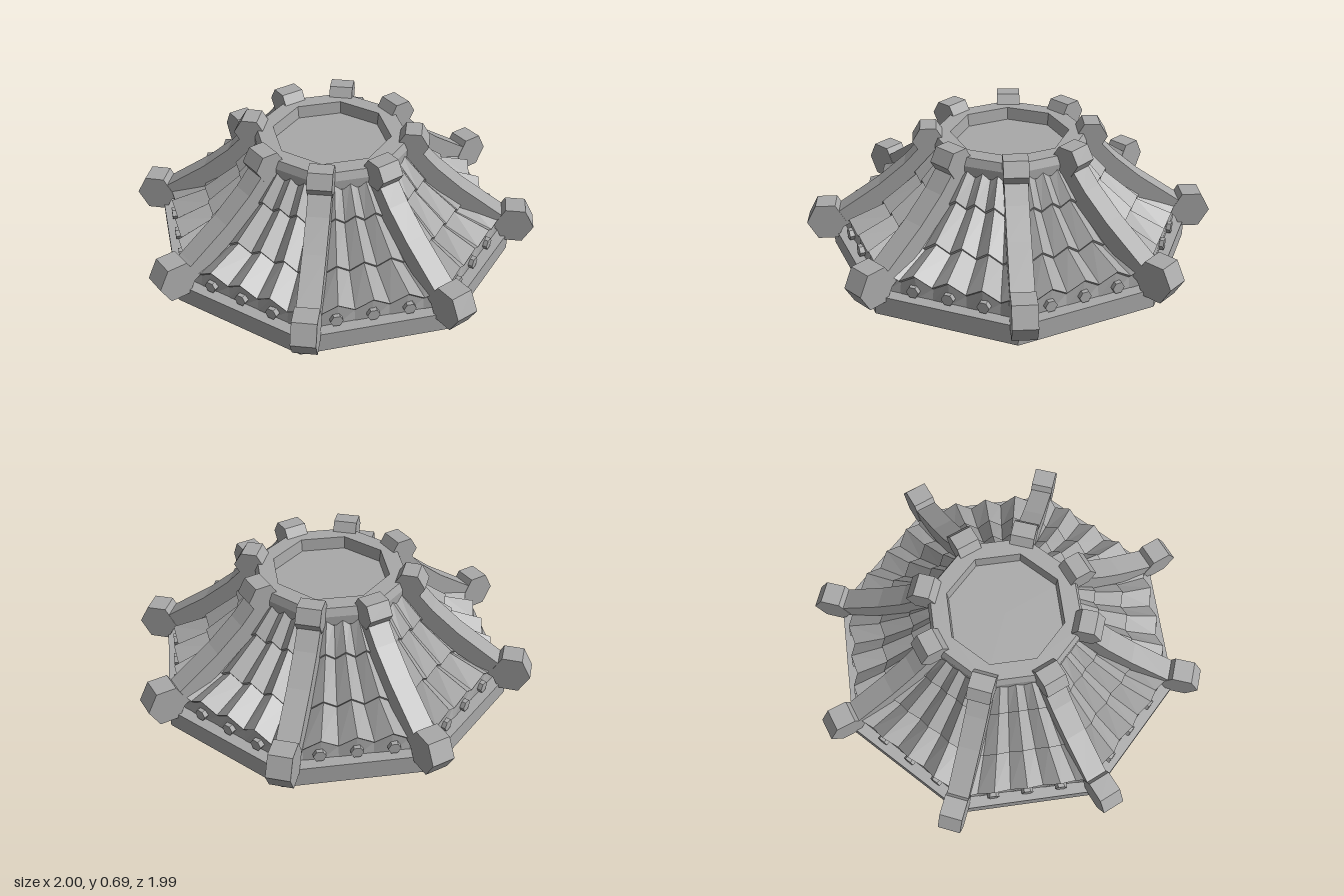
import * as THREE from 'three';

const deg = Math.PI / 180;
const TAN = Math.tan(22.5 * deg);

export function createModel() {
  const stone = new THREE.MeshStandardMaterial({ color: 0xa9a9a9 });
  stone.name = 'grey stone';
  const root = new THREE.Group();
  root.name = 'octagonalRoof';
  const body = new THREE.Group();
  body.name = 'roofBody';
  body.position.x = 0.015;
  body.rotation.y = -1.9 * deg;
  root.add(body);

  // Faceted mesh helper
  function add(parent, geometry, name) {
    const g = geometry.index ? geometry.toNonIndexed() : geometry;
    g.computeVertexNormals();
    const mesh = new THREE.Mesh(g, stone);
    mesh.name = name;
    parent.add(mesh);
    return mesh;
  }
  // Eight-sided solid from a radius/height profile
  const octagon = (points) => new THREE.LatheGeometry(
    points.map(([r, y]) => new THREE.Vector2(r, y)), 8, Math.PI / 8);

  // Base slab, with a bevelled and recessed underside
  add(body, octagon([[0, 0.055], [0.75, 0.05], [0.85, 0], [0.93, 0.008], [0.93, 0.11], [0.8, 0.11]]), 'baseSlab');
  // Crown ring around a sunken floor
  add(body, octagon([[0.36, 0.5], [0.405, 0.55], [0.407, 0.6], [0.39, 0.64], [0.3, 0.64], [0.293, 0.575], [0, 0.575]]), 'crownRing');

  // Pleated roofing rows, ending in a flat studded skirt: distance out, height, pleat depth
  const rows = [
    [0.36, 0.575, 0.012],
    [0.475, 0.445, 0.02], [0.468, 0.432, 0.02],
    [0.64, 0.293, 0.025], [0.633, 0.28, 0.025],
    [0.812, 0.205, 0.028], [0.8, 0.193, 0.028],
    [0.803, 0.1, 0],
  ];
  const strips = 8;
  function pleatedPanel() {
    const pos = [], idx = [];
    rows.forEach(([n, y, depth], r) => {
      for (let i = 0; i <= strips; i++) {
        const lift = i % 2 === 0 ? depth : -depth;
        pos.push(n + lift * 0.3, y + lift, (i / strips * 2 - 1) * n * TAN);
        if (r && i) {
          const c = r * (strips + 1) + i, b = c - 1, d = c - strips - 1, a = d - 1;
          idx.push(a, d, c, a, c, b);
        }
      }
    });
    const g = new THREE.BufferGeometry();
    g.setAttribute('position', new THREE.Float32BufferAttribute(pos, 3));
    g.setIndex(idx);
    return g;
  }

  for (let s = 0; s < 8; s++) {
    const side = new THREE.Group();
    side.name = 'roofSide' + (s + 1);
    side.rotation.y = -s * 45 * deg;
    body.add(side);
    add(side, pleatedPanel(), 'pleatedTiles');
    // Hexagonal studs under the pleats
    for (const w of [-0.175, 0, 0.175]) {
      const stud = add(side, new THREE.CylinderGeometry(0.031, 0.031, 0.04, 6), 'stud');
      stud.rotation.z = -Math.PI / 2;
      stud.position.set(0.807, 0.145, w);
    }
  }

  // Side outline extruded to a centred width
  function slab(points, width) {
    const shape = new THREE.Shape(points.map(([x, y]) => new THREE.Vector2(x, y)));
    return new THREE.ExtrudeGeometry(shape, { depth: width, bevelEnabled: false })
      .translate(0, 0, -width / 2);
  }
  const hexagon = (x, y, rx, ry) => [0, 1, 2, 3, 4, 5].map((k) =>
    [x + rx * Math.cos(k * 60 * deg), y + ry * Math.sin(k * 60 * deg)]);

  // Hip beams on the corners, each with a knob at both ends
  [-22, 24.5, 67.4, 113.4, 160.3, 206.5, 248.3, 294.5].forEach((angle, i) => {
    const hip = new THREE.Group();
    hip.name = 'hipBeam' + (i + 1);
    hip.rotation.y = -(angle - 1.9) * deg;
    body.add(hip);
    add(hip, slab([
      [0.38, 0.5], [0.52, 0.39], [0.68, 0.26], [0.9, 0.13], [0.95, 0.2],
      [0.87, 0.25], [0.67, 0.388], [0.535, 0.502], [0.445, 0.6], [0.38, 0.6],
    ], 0.112), 'beam');
    add(hip, slab(hexagon(0.95, 0.182, 0.1, 0.107), 0.116), 'lowerKnob');
    add(hip, slab(hexagon(0.41, 0.622, 0.08, 0.077), 0.12), 'upperKnob');
  });

  return root;
}
